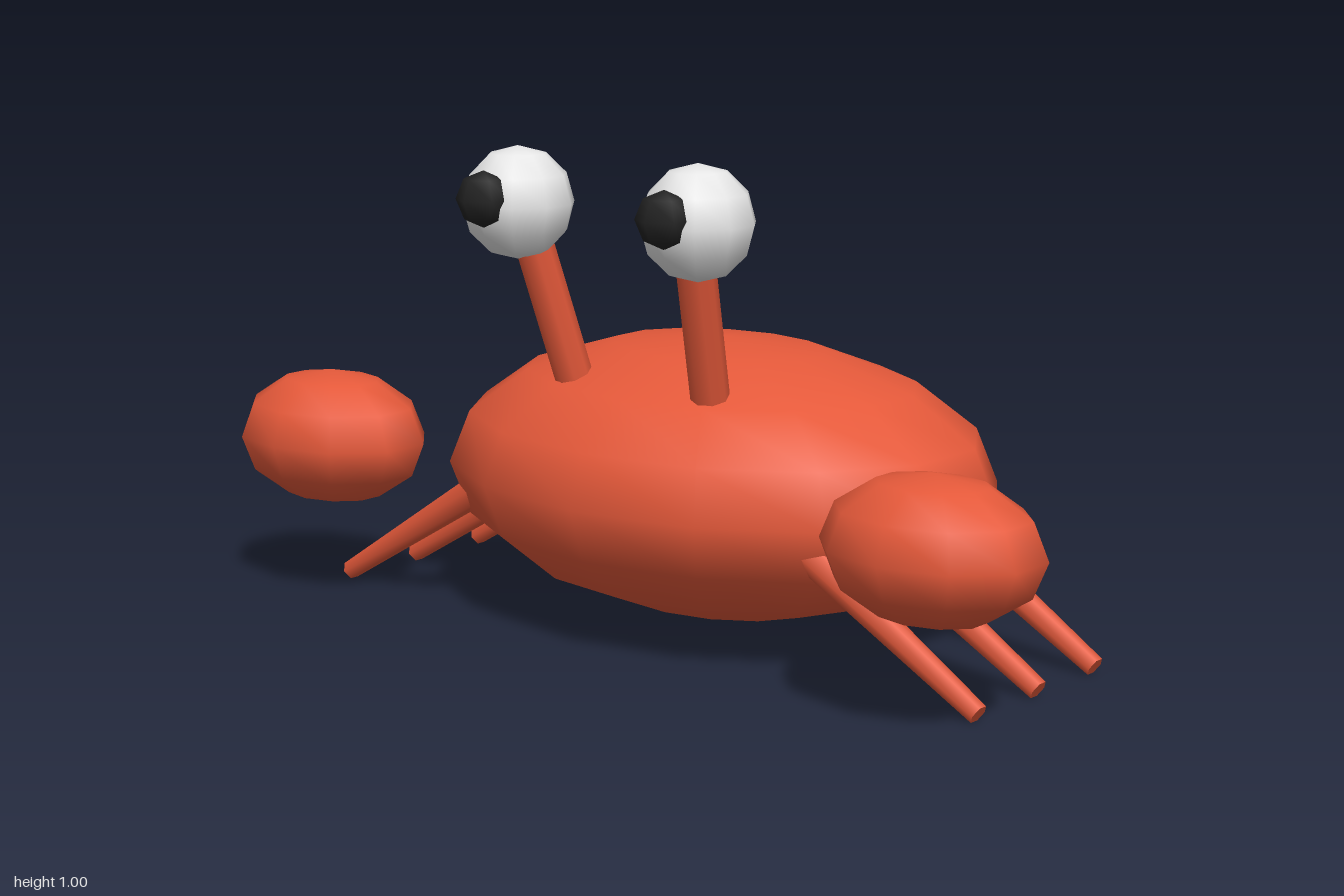
import * as THREE from 'three';

const shellRed = new THREE.MeshStandardMaterial({ name: 'shellRed', color: 0xe5593a });
const eyeWhite = new THREE.MeshStandardMaterial({ name: 'eyeWhite', color: 0xe6e6e6 });
const pupilBlack = new THREE.MeshStandardMaterial({ name: 'pupilBlack', color: 0x222222 });

// Low-poly ellipsoid with its seam turned so corners point along z
function ellipsoid(name, material, radii, position, segments, rings) {
  const geometry = new THREE.SphereGeometry(1, segments, rings);
  geometry.rotateY(Math.PI / 2);
  geometry.scale(...radii);
  const mesh = new THREE.Mesh(geometry, material);
  mesh.name = name;
  mesh.position.set(...position);
  return mesh;
}

// Tapered rod running from one point to another
function rod(name, from, to, rFrom, rTo, sides) {
  const a = new THREE.Vector3(...from);
  const b = new THREE.Vector3(...to);
  const axis = b.clone().sub(a);
  const mesh = new THREE.Mesh(new THREE.CylinderGeometry(rTo, rFrom, axis.length(), sides), shellRed);
  mesh.name = name;
  mesh.position.copy(a).add(b).multiplyScalar(0.5);
  mesh.quaternion.setFromUnitVectors(new THREE.Vector3(0, 1, 0), axis.normalize());
  return mesh;
}

export function createModel() {
  const crab = new THREE.Group();
  crab.name = 'crab';

  crab.add(ellipsoid('body', shellRed, [0.634, 0.286, 0.46], [0, 0.315, -0.03], 14, 8));

  for (const [side, s] of [['left', 1], ['right', -1]]) {
    // Claw, floating beside the body
    crab.add(ellipsoid(side + 'Claw', shellRed, [0.229, 0.143, 0.172], [s * 0.782, 0.343, 0.318], 10, 6));

    // Three splayed legs
    ['front', 'middle', 'back'].forEach((row, i) => {
      const z = 0.23 - i * 0.2;
      crab.add(rod(`${side}${row}Leg`, [s * 0.4, 0.282, z], [s * 0.83, 0.019, z], 0.036, 0.021, 6));
    });

    // Eye on a leaning stalk
    const eye = new THREE.Group();
    eye.name = side + 'Eye';
    eye.add(
      rod('eyeStalk', [s * 0.172, 0.47, 0.2], [s * 0.215, 0.86, 0.314], 0.039, 0.039, 8),
      ellipsoid('eyeball', eyeWhite, [0.115, 0.114, 0.113], [s * 0.232, 0.891, 0.319], 10, 6),
      ellipsoid('pupil', pupilBlack, [0.057, 0.057, 0.057], [s * 0.232, 0.907, 0.418], 6, 4)
    );
    crab.add(eye);
  }
  return crab;
}
